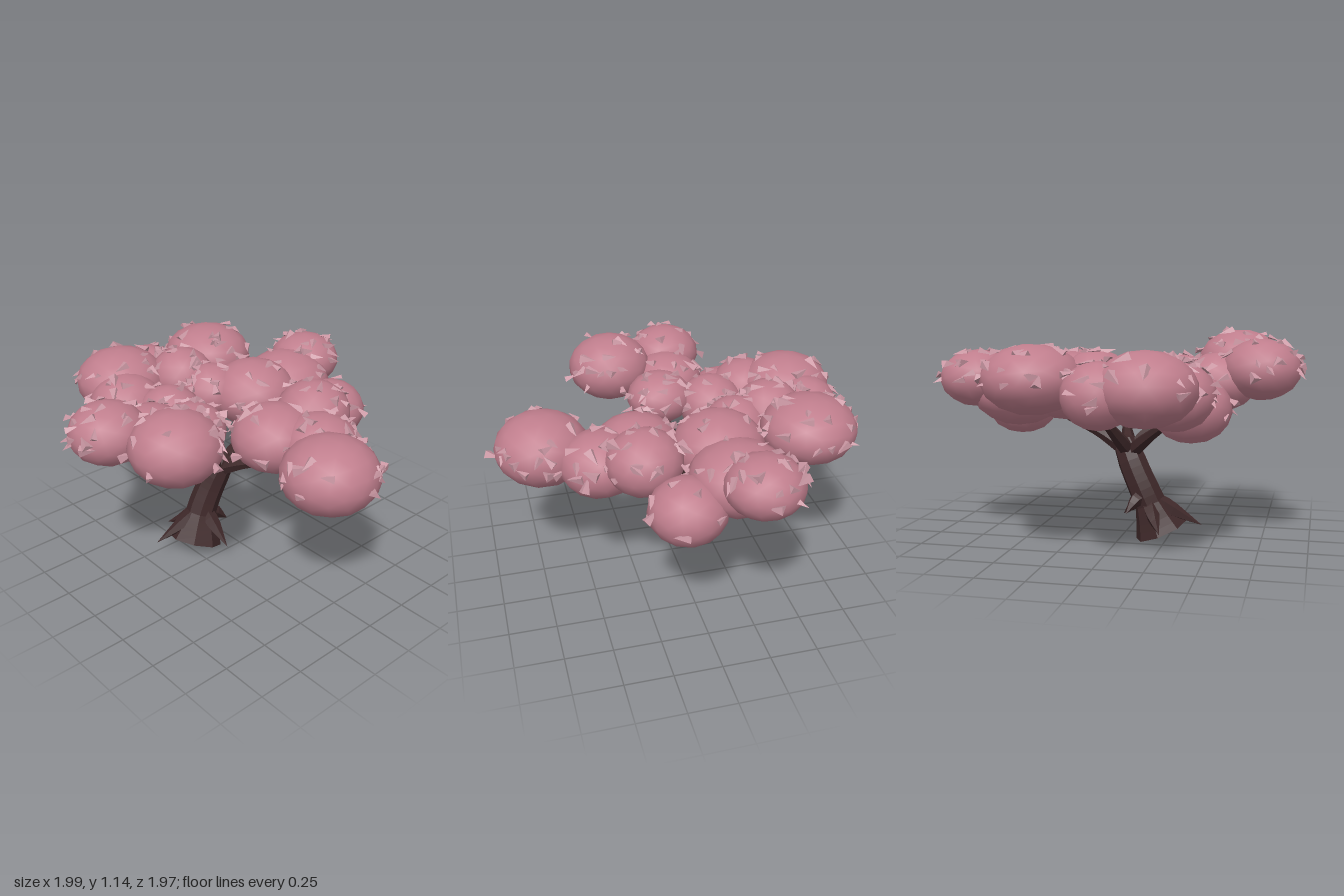
import * as THREE from 'three';
import { mergeGeometries } from 'three/addons/utils/BufferGeometryUtils.js';

const mat = (name, color) => {
  const m = new THREE.MeshStandardMaterial({ color });
  m.name = name;
  return m;
};

// Small seeded random generator
function seeded(seed) {
  return () => {
    seed = (seed * 16807) % 2147483647;
    return seed / 2147483647;
  };
}

// Tapered faceted limb along a curve, open at its start
function limb(points, radii, sides = 7, steps = 10) {
  const curve = new THREE.CatmullRomCurve3(points.map(p => new THREE.Vector3(...p)));
  const geo = new THREE.TubeGeometry(curve, steps, 1, sides, false);
  const pos = geo.attributes.position;
  const v = new THREE.Vector3();
  for (let i = 0; i < pos.count; i++) {
    const ring = Math.floor(i / (sides + 1));
    const f = (ring / steps) * (radii.length - 1);
    const k = Math.min(Math.floor(f), radii.length - 2);
    const r = ring === steps ? 0 : THREE.MathUtils.lerp(radii[k], radii[k + 1], f - k);
    const c = curve.getPointAt(ring / steps);
    v.fromBufferAttribute(pos, i).sub(c).multiplyScalar(r).add(c);
    pos.setXYZ(i, v.x, v.y, v.z);
  }
  const flat = geo.toNonIndexed();
  flat.computeVertexNormals();
  return flat;
}

// Foliage puffs: x, y, z, horizontal radius, vertical radius
const PUFFS = [
  [0.70, 0.77, 0.03, 0.25, 0.19],
  [0.43, 0.75, -0.17, 0.21, 0.17],
  [0.21, 0.75, -0.06, 0.23, 0.18],
  [0.23, 0.82, -0.33, 0.20, 0.17],
  [0.08, 0.69, -0.62, 0.20, 0.165],
  [-0.26, 0.86, -0.75, 0.20, 0.15],
  [-0.20, 0.79, -0.54, 0.25, 0.18],
  [-0.18, 0.82, -0.26, 0.24, 0.18],
  [-0.65, 0.89, -0.32, 0.25, 0.17],
  [-0.53, 0.87, -0.03, 0.18, 0.16],
  [-0.33, 0.83, -0.08, 0.17, 0.15],
  [-0.77, 0.83, 0.04, 0.18, 0.16],
  [-0.73, 0.86, 0.25, 0.25, 0.18],
  [-0.53, 0.81, 0.36, 0.20, 0.17],
  [-0.41, 0.74, 0.42, 0.20, 0.17],
  [-0.29, 0.80, 0.25, 0.18, 0.16],
  [-0.01, 0.84, 0.32, 0.18, 0.14],
  [-0.10, 0.85, 0.52, 0.20, 0.15],
  [0.22, 0.93, 0.60, 0.23, 0.18],
  [-0.14, 0.92, 0.74, 0.20, 0.155],
];

export function createModel() {
  const bark = mat('dark bark', 0x3e2829);
  bark.side = THREE.DoubleSide;
  const blossom = mat('blossom pink', 0xc07e8d);
  const petal = mat('pale petal pink', 0xc996a2);
  const tree = new THREE.Group();
  tree.name = 'tree';
  const add = (geo, material, name) => {
    const mesh = new THREE.Mesh(geo, material);
    mesh.name = name;
    tree.add(mesh);
  };

  // Leaning hollow-based trunk with a flared foot
  add(limb(
    [[-0.13, 0.053, 0.225], [-0.15, 0.22, 0.155], [-0.14, 0.38, 0.08], [-0.10, 0.56, 0.0]],
    [0.15, 0.115, 0.085, 0.083, 0.08, 0.078, 0.07, 0.05], 8, 14), bark, 'trunk');

  // Pointed roots around the foot
  const roots = [
    [-0.35, 0.075, 0.25], [0.10, 0.10, 0.18], [-0.19, 0.10, 0.45],
    [-0.10, 0.12, 0.01], [-0.28, 0.16, 0.06],
  ];
  for (const [x, y, z] of roots) {
    const s = [-0.145, 0.24, 0.15];
    const mid = [(x + s[0]) / 2, y + 0.065, (z + s[2]) / 2];
    add(limb([s, mid, [x, y, z]], [0.03, 0.045, 0.038, 0.02, 0], 5, 6), bark, 'root');
  }

  // Slender branches fanning out into the crown
  const branches = [
    [[-0.24, 0.57, 0.18], [-0.38, 0.69, 0.34]],
    [[-0.07, 0.61, 0.18], [-0.03, 0.73, 0.36]],
    [[0.04, 0.54, 0.0], [0.26, 0.61, -0.06]],
    [[-0.12, 0.56, -0.10], [-0.17, 0.68, -0.34]],
    [[-0.25, 0.57, 0.0], [-0.46, 0.75, -0.07]],
    [[0.0, 0.56, -0.10], [0.14, 0.66, -0.26]],
  ];
  for (const [mid, end] of branches) {
    add(limb([[-0.12, 0.46, 0.05], mid, end], [0.045, 0.04, 0.03, 0.024, 0.014], 6, 8), bark, 'branch');
  }

  // Rounded foliage puffs
  PUFFS.forEach(([x, y, z, r, h], i) => {
    const geo = new THREE.IcosahedronGeometry(1.02, 2);
    geo.rotateX(i * 0.7).rotateY(i * 1.3).scale(r, h, r).translate(x, y, z);
    add(geo, blossom, 'foliagePuff');
  });

  // Pointed three-sided leaves lying over the exposed foliage
  const rand = seeded(4217);
  const inside = (p, skip) => PUFFS.some(([x, y, z, r, h], j) => j !== skip &&
    ((p.x - x) / r) ** 2 + ((p.y - y) / h) ** 2 + ((p.z - z) / r) ** 2 < 1);
  const leaves = [];
  const basis = new THREE.Matrix4();
  PUFFS.forEach(([x, y, z, r, h], i) => {
    for (let n = 0; n < 27; n++) {
      const up = -0.25 + 1.22 * rand();
      const a = rand() * Math.PI * 2;
      const w = Math.sqrt(1 - up * up);
      const dir = new THREE.Vector3(Math.cos(a) * w, up, Math.sin(a) * w);
      const p = new THREE.Vector3(x + dir.x * r, y + dir.y * h, z + dir.z * r).addScaledVector(dir, 0.008);
      const face = new THREE.Vector3(rand() - 0.5, 0.7, rand() - 0.5).addScaledVector(dir, 0.6).normalize();
      const aim = new THREE.Vector3(rand() - 0.5, 0, rand() - 0.5).projectOnPlane(face).normalize();
      const size = 0.75 + 0.5 * rand();
      if (inside(p, i) || Math.abs(p.x) > 0.965) continue;
      basis.makeBasis(new THREE.Vector3().crossVectors(aim, face), aim, face).setPosition(p);
      const leaf = new THREE.ConeGeometry(0.03, 0.075, 3).toNonIndexed();
      leaf.scale(size, size, size * 0.55).applyMatrix4(basis);
      leaf.computeVertexNormals();
      leaves.push(leaf);
    }
  });
  add(mergeGeometries(leaves), petal, 'leaves');

  return tree;
}
